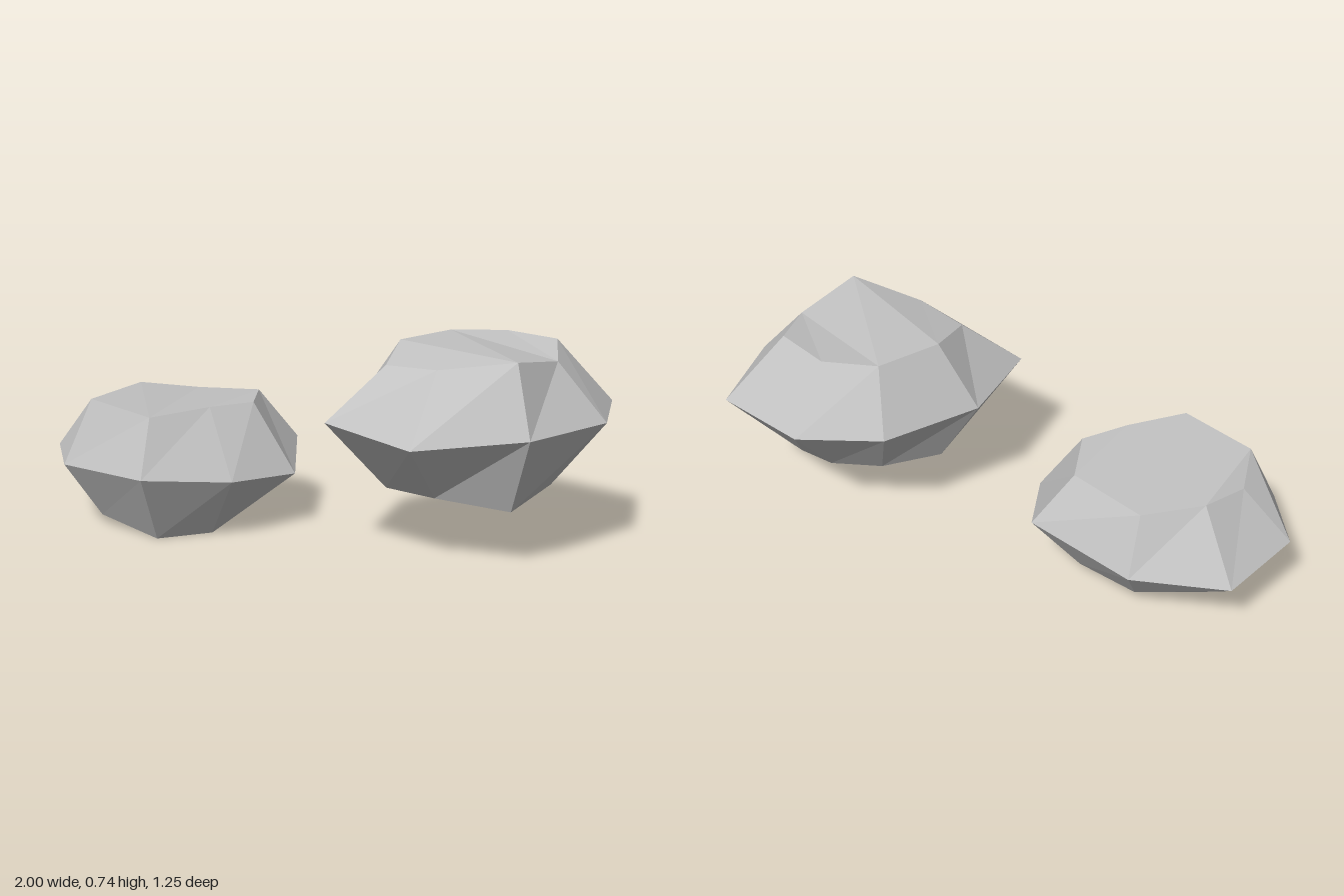
import * as THREE from 'three';

// Each rock is three rings of eight corners: [x, y, z], running clockwise seen from above
const LOW_ROCK = {
  top: [[-.83, .43, -.33], [-.69, .46, -.46], [-.47, .43, -.48], [-.25, .46, -.305],
    [-.28, .465, -.105], [-.44, .47, -.03], [-.655, .46, .06], [-.865, .475, -.165]],
  middle: [[-1, .245, -.39], [-.78, .225, -.625], [-.435, .215, -.565], [-.105, .27, -.335],
    [-.135, .21, -.04], [-.37, .23, .115], [-.69, .265, .18], [-.97, .24, -.13]],
  bottom: [[-.83, .025, -.32], [-.69, .055, -.445], [-.47, .05, -.445], [-.28, .043, -.29],
    [-.315, .053, -.12], [-.44, .003, -.01], [-.64, 0, .03], [-.84, .035, -.16]],
};
const HIGH_ROCK = {
  top: [[.155, .685, .275], [.23, .73, .085], [.43, .73, -.055], [.63, .73, -.03],
    [.78, .73, .125], [.74, .697, .325], [.565, .74, .51], [.31, .697, .415]],
  middle: [[-.06, .5, .33], [.09, .5, .02], [.41, .51, -.195], [.72, .51, -.19],
    [1, .487, .07], [.9, .495, .4], [.59, .5, .625], [.2, .46, .565]],
  bottom: [[.16, .245, .27], [.23, .24, .085], [.44, .255, -.01], [.63, .235, .03],
    [.75, .215, .13], [.73, .255, .32], [.56, .213, .485], [.31, .243, .4]],
};

function rockGeometry({ bottom, middle, top }) {
  const n = top.length;
  const positions = [];
  const tri = (a, b, c) => positions.push(...a, ...b, ...c);

  // Sloping sides
  for (const [low, high] of [[bottom, middle], [middle, top]]) {
    for (let i = 0; i < n; i++) {
      const j = (i + 1) % n;
      tri(low[i], high[i], low[j]);
      tri(high[i], high[j], low[j]);
    }
  }

  // Caps, filled by zigzagging across each ring
  for (let a = 0, b = n - 1; b - a > 1; a++, b--) {
    tri(top[a], top[b], top[a + 1]);
    tri(bottom[a], bottom[a + 1], bottom[b]);
    if (b - a > 2) {
      tri(top[a + 1], top[b], top[b - 1]);
      tri(bottom[a + 1], bottom[b - 1], bottom[b]);
    }
  }

  const geometry = new THREE.BufferGeometry();
  geometry.setAttribute('position', new THREE.Float32BufferAttribute(positions, 3));
  geometry.computeVertexNormals(); // unshared corners keep every facet flat
  return geometry;
}

export function createModel() {
  const group = new THREE.Group();
  group.name = 'rocks';
  const stone = new THREE.MeshStandardMaterial({ color: 0xc2c2c2, flatShading: true });
  stone.name = 'stone grey';

  for (const [name, rings] of [['lowRock', LOW_ROCK], ['highRock', HIGH_ROCK]]) {
    const rock = new THREE.Mesh(rockGeometry(rings), stone);
    rock.name = name;
    group.add(rock);
  }
  return group;
}
